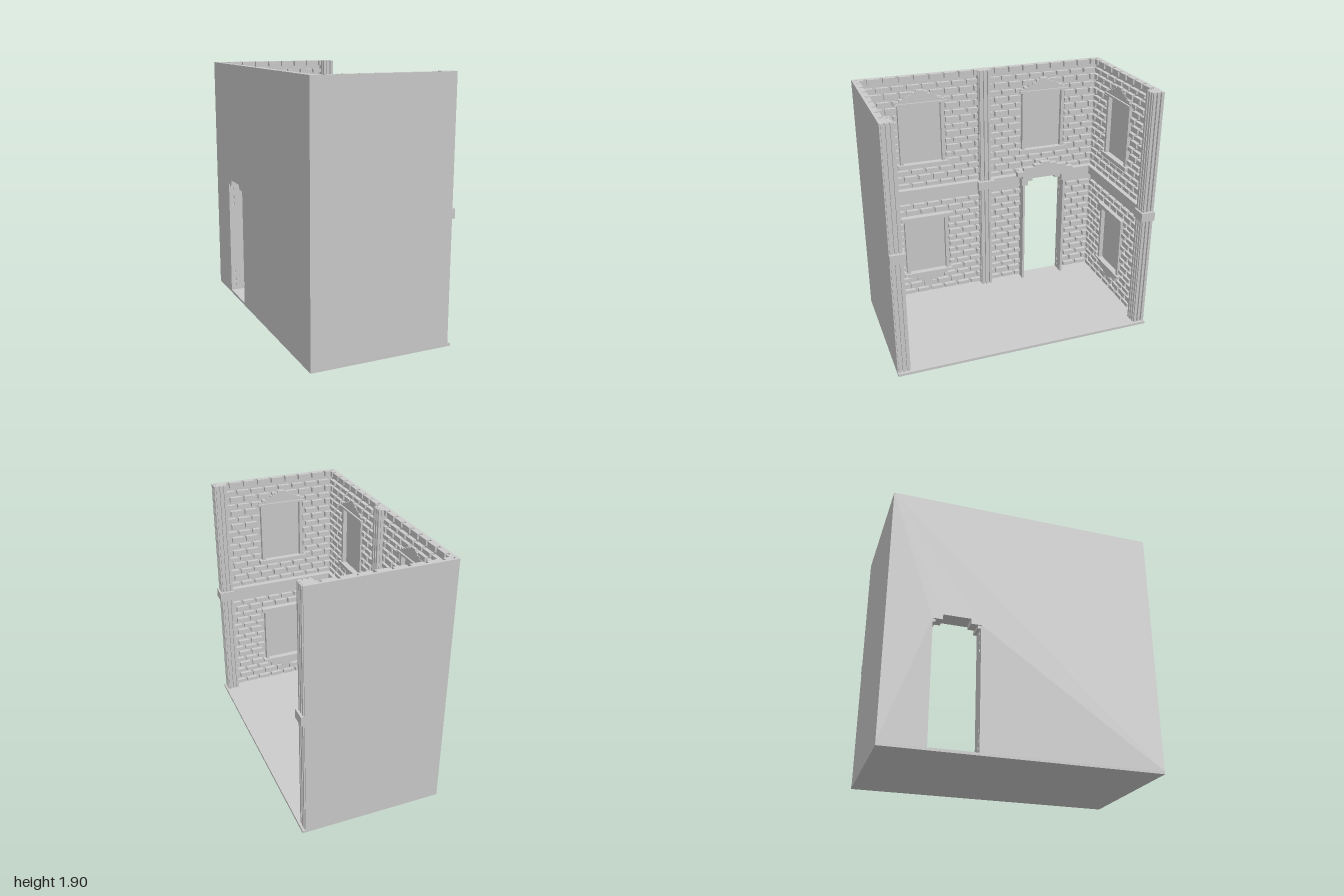
import * as THREE from 'three';
import { mergeGeometries } from 'three/addons/utils/BufferGeometryUtils.js';

const H = 1.905, FLOOR = 0.02, CORE = 0.02, BRICK = 0.05;
const BAND = [0.92, 0.99];
const PITCH = 0.117, GAP = 0.022;
const mat = new THREE.MeshStandardMaterial({ color: 0xcccccc, flatShading: true });

// Box from ranges: u along the wall, v up, d out of the wall into the room
function box(u0, u1, v0, v1, d0, d1) {
  const g = new THREE.BoxGeometry(Math.abs(u1 - u0), Math.abs(v1 - v0), d1 - d0);
  return g.translate((u0 + u1) / 2, (v0 + v1) / 2, (d0 + d1) / 2);
}

function add(group, name, geos) {
  const mesh = new THREE.Mesh(mergeGeometries(geos.map(g => (g.index ? g.toNonIndexed() : g))), mat);
  mesh.name = name;
  group.add(mesh);
  return mesh;
}

// Running-bond courses between u0 and u1, leaving the cutouts [u0, u1, v0, v1] free
function bricks(u0, u1, phase, cutouts) {
  const out = [];
  for (const [y0, y1] of [[FLOOR, BAND[0]], [BAND[1], H]]) {
    const step = (y1 - y0) / 16;
    for (let r = 0; r < 16; r++) {
      const h = r % 2 ? 0.041 : 0.031;
      const b = r === 15 ? H - h : y0 + step * r + (step - h) / 2, t = b + h;
      const start = phase + (r % 2 ? 0 : PITCH / 2);
      const k0 = Math.floor((u0 - start) / PITCH);
      for (let k = k0; start + k * PITCH < u1; k++) {
        let parts = [[Math.max(u0, start + k * PITCH + GAP / 2), Math.min(u1, start + (k + 1) * PITCH - GAP / 2)]];
        for (const [c0, c1, v0, v1] of cutouts) {
          if (t <= v0 || b >= v1) continue;
          parts = parts.flatMap(([a, e]) => [[a, Math.min(e, c0)], [Math.max(a, c1), e]]);
        }
        for (const [a, e] of parts) if (e - a > 0.012) out.push(box(a, e, b, t, CORE - 0.005, BRICK));
      }
    }
  }
  return out;
}

// Window with a stepped gable; the lower storey has it upside down
const windowCuts = cu => [[cu - 0.19, cu + 0.19, 1.17, 1.71], [cu - 0.19, cu + 0.19, 0.205, 0.745]];
function addWindow(group, cu, lower) {
  const Y = v => (lower ? 1.915 - v : v);
  const w = new THREE.Group();
  w.name = lower ? 'lowerWindow' : 'upperWindow';
  add(w, 'pane', [box(cu - 0.155, cu + 0.155, Y(1.205), Y(1.69), 0.01, CORE + 0.002)]);
  add(w, 'windowFrame', [-1, 1].map(s => box(cu + s * 0.155, cu + s * 0.18, Y(1.2), Y(1.69), 0.01, 0.055)));
  add(w, 'sill', [box(cu - 0.205, cu + 0.205, Y(1.172), Y(1.205), 0.01, 0.07)]);
  add(w, 'lintel', [box(cu - 0.205, cu + 0.205, Y(1.685), Y(1.7), 0.01, 0.07)]);
  const steps = [[0.2, 1.715], [0.165, 1.73], [0.13, 1.745], [0.095, 1.762], [0.06, 1.778], [0.03, 1.792]];
  add(w, 'steppedGable', steps.map(([hw, v], i) =>
    box(cu - hw, cu + hw, Y(i ? steps[i - 1][1] : 1.7), Y(v), 0.01, 0.056)));
  group.add(w);
}

function addWindows(group, cu) {
  addWindow(group, cu, false);
  addWindow(group, cu, true);
}

// Doorway: jambs with bolt holes, lintel, brackets and stepped hood
function addDoorway(group, cu) {
  const d = new THREE.Group();
  d.name = 'doorway';
  const side = new THREE.Shape([[0, FLOOR], [0.11, FLOOR], [0.11, 0.95], [0, 0.95]].map(p => new THREE.Vector2(...p)));
  for (const y of [0.06, 0.11, 0.18, 0.76, 0.82, 0.89]) {
    const hole = new THREE.Path();
    hole.moveTo(0.025, y - 0.012).lineTo(0.025, y + 0.012).lineTo(0.042, y + 0.012).lineTo(0.042, y - 0.012);
    side.holes.push(hole);
  }
  for (const s of [-1, 1]) {
    const g = new THREE.ExtrudeGeometry(side, { depth: 0.018, bevelEnabled: false });
    g.rotateY(-Math.PI / 2).translate(cu + s * 0.18 + 0.009, 0, 0);
    add(d, 'doorJamb', [g]);
  }
  add(d, 'doorLintel', [box(cu - 0.21, cu + 0.21, 0.975, 1.035, 0.005, 0.095)]);
  add(d, 'doorBrackets', [-1, 1].flatMap(s => [
    box(cu + s * 0.15, cu + s * 0.205, 0.915, 0.975, 0.01, 0.125),
    box(cu + s * 0.1, cu + s * 0.17, 0.937, 0.976, 0.002, 0.095)]));
  const steps = [[0.2, 0.998], [0.245, 1.04], [0.19, 1.07], [0.1, 1.09], [0.04, 1.107]];
  add(d, 'doorHood', steps.map(([hw, v], i) =>
    box(cu - hw, cu + hw, i ? steps[i - 1][1] : 0.975, v, 0.09, 0.131)));
  group.add(d);
}

function backWall() {
  const w = new THREE.Group();
  w.name = 'backWall';
  const door = 0.505;
  // Core slab, notched from below for the door opening
  const outline = [[-1, FLOOR], [door - 0.175, FLOOR], [door - 0.175, 0.937], [door - 0.1, 0.937], [door - 0.1, 0.975],
    [door + 0.1, 0.975], [door + 0.1, 0.937], [door + 0.175, 0.937], [door + 0.175, FLOOR], [1, FLOOR], [1, H], [-1, H]];
  const shape = new THREE.Shape(outline.map(p => new THREE.Vector2(...p)));
  add(w, 'wallCore', [new THREE.ExtrudeGeometry(shape, { depth: CORE, bevelEnabled: false })]);
  const cuts = [...windowCuts(-0.505), windowCuts(door)[0], [door - 0.185, door + 0.185, 0, 0.99]];
  add(w, 'bricks', [...bricks(-0.96, -0.045, -0.085, cuts), ...bricks(0.045, 0.96, 0.085, cuts)]);
  add(w, 'band', [box(-0.98, door - 0.2, ...BAND, 0.01, 0.07), box(door + 0.2, 0.98, ...BAND, 0.01, 0.07)]);
  addWindows(w, -0.505);
  addWindow(w, door, false);
  addDoorway(w, door);
  // Central ribbed pilaster
  const parts = [box(-0.048, 0.048, FLOOR, H, 0.01, 0.072)];
  for (const u of [-0.033, 0, 0.033]) parts.push(box(u - 0.01, u + 0.01, FLOOR, H, 0.07, 0.09));
  add(w, 'pilaster', parts);
  add(w, 'pilasterBlock', [box(-0.068, 0.068, ...BAND, 0.01, 0.108)]);
  w.position.x = -0.535;
  w.rotation.y = Math.PI / 2;
  return w;
}

// Side wall; s turns world x into the wall's own direction
function sideWall(s) {
  const w = new THREE.Group();
  w.name = s > 0 ? 'rearSideWall' : 'frontSideWall';
  add(w, 'wallCore', [box(s * -0.535, s * 0.505, FLOOR, H, 0, CORE)]);
  const cu = s * -0.05;
  const range = [s * -0.5, s * 0.42].sort((a, b) => a - b);
  add(w, 'bricks', bricks(...range, s * -0.43, windowCuts(cu)));
  add(w, 'band', [box(s * -0.52, s * 0.42, ...BAND, 0.01, 0.07)]);
  addWindows(w, cu);
  // Ribbed corner column at the open end
  const parts = [box(s * 0.415, s * 0.497, FLOOR, H, 0, 0.083)];
  for (const i of [0, 1, 2]) {
    const u = 0.42 + i * 0.031, d = 0.008 + i * 0.031;
    parts.push(box(s * u, s * (u + 0.019), FLOOR, H, 0.08, 0.097));
    parts.push(box(s * 0.49, s * 0.513, FLOOR, H, d, d + 0.019));
  }
  add(w, 'cornerColumn', parts);
  add(w, 'columnBlock', [box(s * 0.412, s * 0.53, ...BAND, 0, 0.11)]);
  w.position.z = -s;
  w.rotation.y = s > 0 ? 0 : Math.PI;
  return w;
}

export function createModel() {
  const model = new THREE.Group();
  model.name = 'brickRoom';
  add(model, 'floor', [box(-0.535, 0.53, 0, FLOOR, -1, 1)]);
  model.add(backWall(), sideWall(1), sideWall(-1));
  return model;
}
